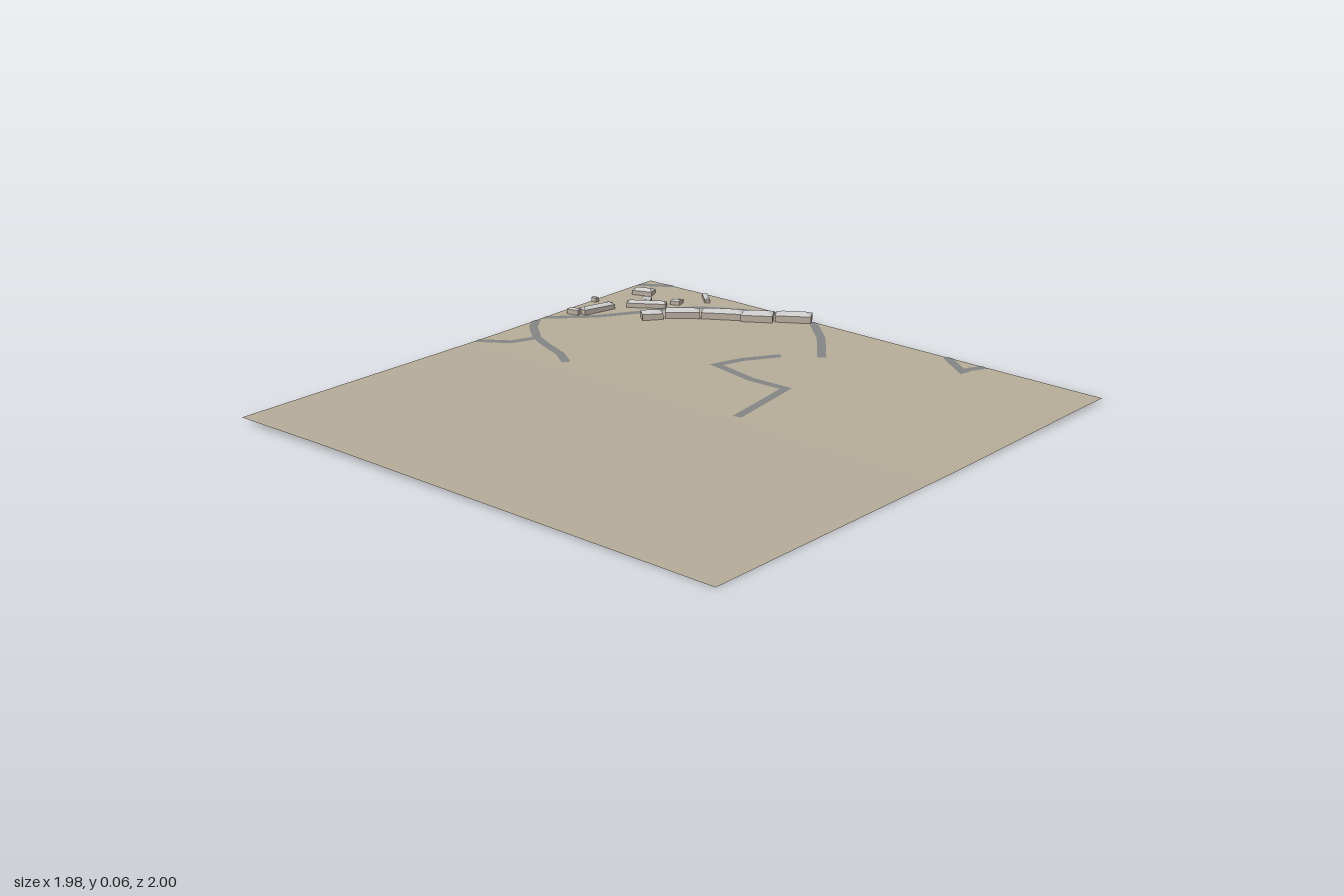
import * as THREE from 'three';

const material = (color, side = THREE.FrontSide) =>
  new THREE.MeshStandardMaterial({ color, side, flatShading: true });
const groundMat = material(0xb5ab98, THREE.DoubleSide);
const roadMat = material(0x838585, THREE.DoubleSide);
const wallMat = material(0xb8aca0);
const roofMat = material(0xc4c4c4);

// Gentle slope: highest at the back right-hand corner of the model
function groundHeight(x, z) {
  const fall = THREE.MathUtils.clamp((x + 0.6) / 1.58, 0, 1);
  return 0.02 * (1 - fall) + 0.012 * THREE.MathUtils.smoothstep(-z, 0, 1);
}

function makeGround() {
  const g = new THREE.PlaneGeometry(1.975, 1.975, 40, 40).rotateX(-Math.PI / 2);
  g.translate(-0.0025, 0, 0.0125);
  const p = g.attributes.position;
  for (let i = 0; i < p.count; i++) p.setY(i, groundHeight(p.getX(i), p.getZ(i)));
  g.computeVertexNormals();
  const mesh = new THREE.Mesh(g, groundMat);
  mesh.name = 'ground';
  return mesh;
}

// Ribbon with mitred bends, draped just above the ground
function makeRoad(points, width) {
  const pts = points.map(([x, z]) => new THREE.Vector2(x, z));
  const sides = pts.map((p, i) => {
    const a = pts[Math.max(i - 1, 0)], b = pts[Math.min(i + 1, pts.length - 1)];
    const d1 = (i ? p.clone().sub(a) : b.clone().sub(p)).normalize();
    const d2 = (b === p ? d1.clone() : b.clone().sub(p)).normalize();
    const n1 = new THREE.Vector2(-d1.y, d1.x);
    const m = n1.clone().add(new THREE.Vector2(-d2.y, d2.x)).normalize();
    return m.multiplyScalar(width / 2 / Math.max(m.dot(n1), 0.5));
  });
  const pos = [], index = [], steps = 5;
  for (let i = 0; i < pts.length - 1; i++) {
    for (let s = i ? 1 : 0; s <= steps; s++) {
      const c = pts[i].clone().lerp(pts[i + 1], s / steps);
      const o = sides[i].clone().lerp(sides[i + 1], s / steps);
      for (const k of [1, -1]) {
        const x = THREE.MathUtils.clamp(c.x + k * o.x, -0.99, 0.985);
        const z = Math.max(c.y + k * o.y, -0.975);
        pos.push(x, groundHeight(x, z) + 0.0015, z);
      }
    }
  }
  for (let i = 0; i < pos.length / 3 - 2; i += 2) index.push(i, i + 1, i + 2, i + 1, i + 3, i + 2);
  const g = new THREE.BufferGeometry();
  g.setAttribute('position', new THREE.Float32BufferAttribute(pos, 3));
  g.setIndex(index);
  g.computeVertexNormals();
  const mesh = new THREE.Mesh(g, roadMat);
  mesh.name = 'road';
  return mesh;
}

// Box pulled in at the top to a ridge; hip is the inset at each ridge end
function makeRoof(length, width, height, hip) {
  const g = new THREE.BoxGeometry(length, height, width).translate(0, height / 2, 0);
  const p = g.attributes.position;
  for (let i = 0; i < p.count; i++) {
    if (p.getY(i) < height / 2) continue;
    p.setX(i, Math.sign(p.getX(i)) * (length / 2 - hip));
    p.setZ(i, Math.sign(p.getZ(i)) * width * 0.04);
  }
  g.computeVertexNormals();
  return new THREE.Mesh(g, roofMat);
}

// House whose long axis points along (dx, dz)
function makeHouse(name, { x, z, length, width, dx, dz, wall, roof, hip }) {
  const house = new THREE.Group();
  house.name = name;
  const walls = new THREE.Mesh(new THREE.BoxGeometry(length, wall, width), wallMat);
  walls.name = 'walls';
  walls.position.y = wall / 2;
  const top = makeRoof(length, width, roof, hip);
  top.name = 'roof';
  top.position.y = wall;
  house.add(walls, top);
  house.position.set(x, groundHeight(x, z) - 0.002, z);
  house.rotation.y = Math.atan2(-dz, dx);
  return house;
}

export function createModel() {
  const model = new THREE.Group();
  model.name = 'villageTerrain';
  model.add(makeGround());

  // Roads
  const roads = [
    [[-0.99, -0.385], [-0.845, -0.52], [-0.765, -0.64], [-0.695, -0.755], [-0.615, -0.835], [-0.475, -0.915], [-0.32, -0.975]],
    [[-0.215, -0.975], [-0.08, -0.85], [0.05, -0.685]],
    [[-0.07, -0.61], [-0.145, -0.495], [-0.18, -0.395], [0, -0.36], [0.145, -0.365], [0.19, -0.055]],
    [[-0.99, -0.355], [-0.945, -0.29], [-0.85, -0.21], [-0.765, -0.17], [-0.66, -0.13], [-0.585, -0.08]],
    [[-0.845, -0.21], [-0.885, -0.115], [-0.99, -0.045]],
    [[0.37, -0.975], [0.43, -0.93], [0.495, -0.885], [0.5, -0.92], [0.53, -0.975]],
    [[-0.99, -0.9], [-0.87, -0.975]],
  ];
  for (const r of roads) model.add(makeRoad(r, 0.031));

  // Terrace of hipped houses: x, z, length, width, direction x, direction z
  const terrace = [
    [-0.683, -0.633, 0.075, 0.055, 9, -11],
    [-0.608, -0.717, 0.125, 0.056, 22, -18],
    [-0.49, -0.802, 0.15, 0.058, 24, -15],
    [-0.381, -0.866, 0.115, 0.068, 20, -13],
    [-0.275, -0.942, 0.13, 0.055, 20, -13],
  ];
  terrace.forEach(([x, z, length, width, dx, dz], i) => model.add(makeHouse('terraceHouse',
    { x, z, length, width, dx, dz, wall: 0.024 + i * 0.0005, roof: 0.009 + i * 0.0005, hip: 0.025 })));

  // Scattered houses and sheds, same columns plus wall height
  const scattered = [
    [-0.897, -0.831, 0.076, 0.045, 13, -5, 0.018],
    [-0.786, -0.722, 0.145, 0.04, 24, -16, 0.018],
    [-0.812, -0.748, 0.06, 0.035, 5, 8, 0.018],
    [-0.722, -0.812, 0.036, 0.026, 10, -4, 0.016],
    [-0.72, -0.832, 0.02, 0.018, 10, -4, 0.014],
    [-0.669, -0.921, 0.08, 0.02, 12, 11, 0.014],
    [-0.893, -0.569, 0.13, 0.04, 6, -24, 0.02],
    [-0.935, -0.494, 0.046, 0.026, 9, -2, 0.02],
    [-0.975, -0.648, 0.022, 0.016, 1, 0, 0.018],
    [-0.902, -0.646, 0.022, 0.012, 1, 0, 0.014],
  ];
  for (const [x, z, length, width, dx, dz, wall] of scattered) {
    model.add(makeHouse(width < 0.03 ? 'shed' : 'house',
      { x, z, length, width, dx, dz, wall, roof: width * 0.18, hip: width * 0.25 }));
  }
  return model;
}
